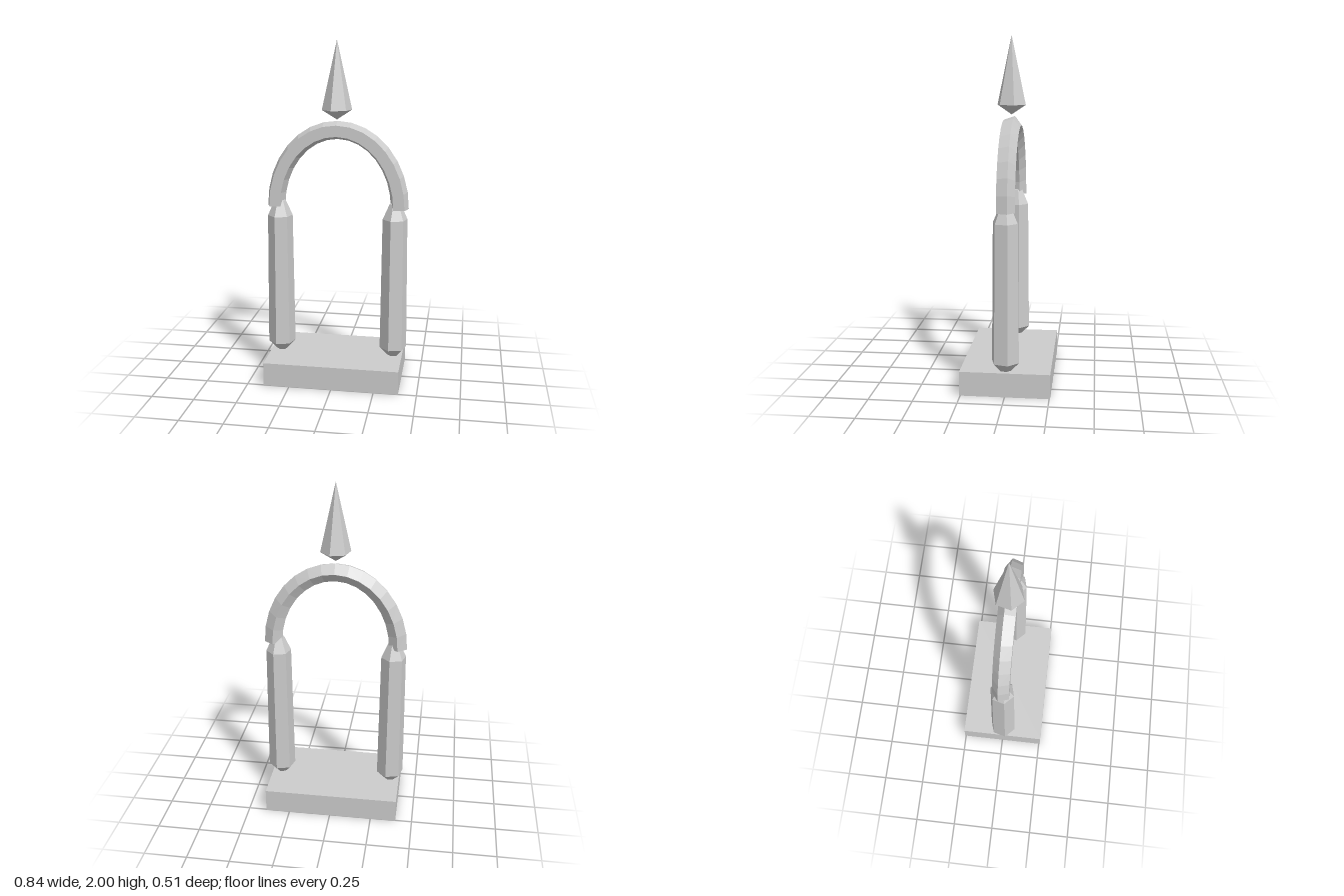
import * as THREE from 'three';
import { ParametricGeometry } from 'three/addons/geometries/ParametricGeometry.js';

export function createModel() {
  const model = new THREE.Group();
  model.name = 'archway';
  const stone = new THREE.MeshStandardMaterial({ color: 0xcccccc, flatShading: true });
  stone.name = 'grey stone';

  function add(name, geometry, x = 0, y = 0, z = 0, parent = model) {
    const mesh = new THREE.Mesh(geometry, stone);
    mesh.name = name;
    mesh.position.set(x, y, z);
    parent.add(mesh);
    return mesh;
  }

  // Six-sided turned part from [radius, height] pairs
  const hexLathe = (profile) => new THREE.LatheGeometry(
    profile.map(([r, y]) => new THREE.Vector2(r, y)), 6, Math.PI / 4);

  // Base slab
  add('base', new THREE.BoxGeometry(0.795, 0.14, 0.51), -0.004, 0.07, 0);

  // Columns with tapered ends
  const column = hexLathe([[0, 0.105], [0.081, 0.19], [0.073, 0.98], [0.033, 1.07], [0, 1.09]]);
  add('leftColumn', column, 0.338);
  add('rightColumn', column, -0.343);

  // Arch: a five-sided bar swept over a half ellipse
  const halfSpan = 0.365, rise = 0.45, bar = 0.055, spring = 1.04;
  const arch = new THREE.Group();
  arch.name = 'arch';
  arch.position.set(-0.002, spring, 0);
  model.add(arch);
  add('archBar', new ParametricGeometry((u, v, target) => {
    const a = u * Math.PI;
    const b = v * Math.PI * 2 - Math.PI / 2;
    const out = bar * Math.cos(b);
    target.set((halfSpan + out) * Math.cos(a), (rise + out) * Math.sin(a), bar * Math.sin(b));
  }, 16, 5), 0, 0, 0, arch);

  // Flat ends of the arch
  const end = new THREE.CircleGeometry(bar, 5, -Math.PI / 2).rotateX(Math.PI / 2);
  add('leftArchEnd', end, halfSpan, 0, 0, arch);
  add('rightArchEnd', end, -halfSpan, 0, 0, arch);

  // Floating spike above the arch
  add('spike', hexLathe([[0, 1.552], [0.087, 1.607], [0, 2]]), -0.003);

  return model;
}
